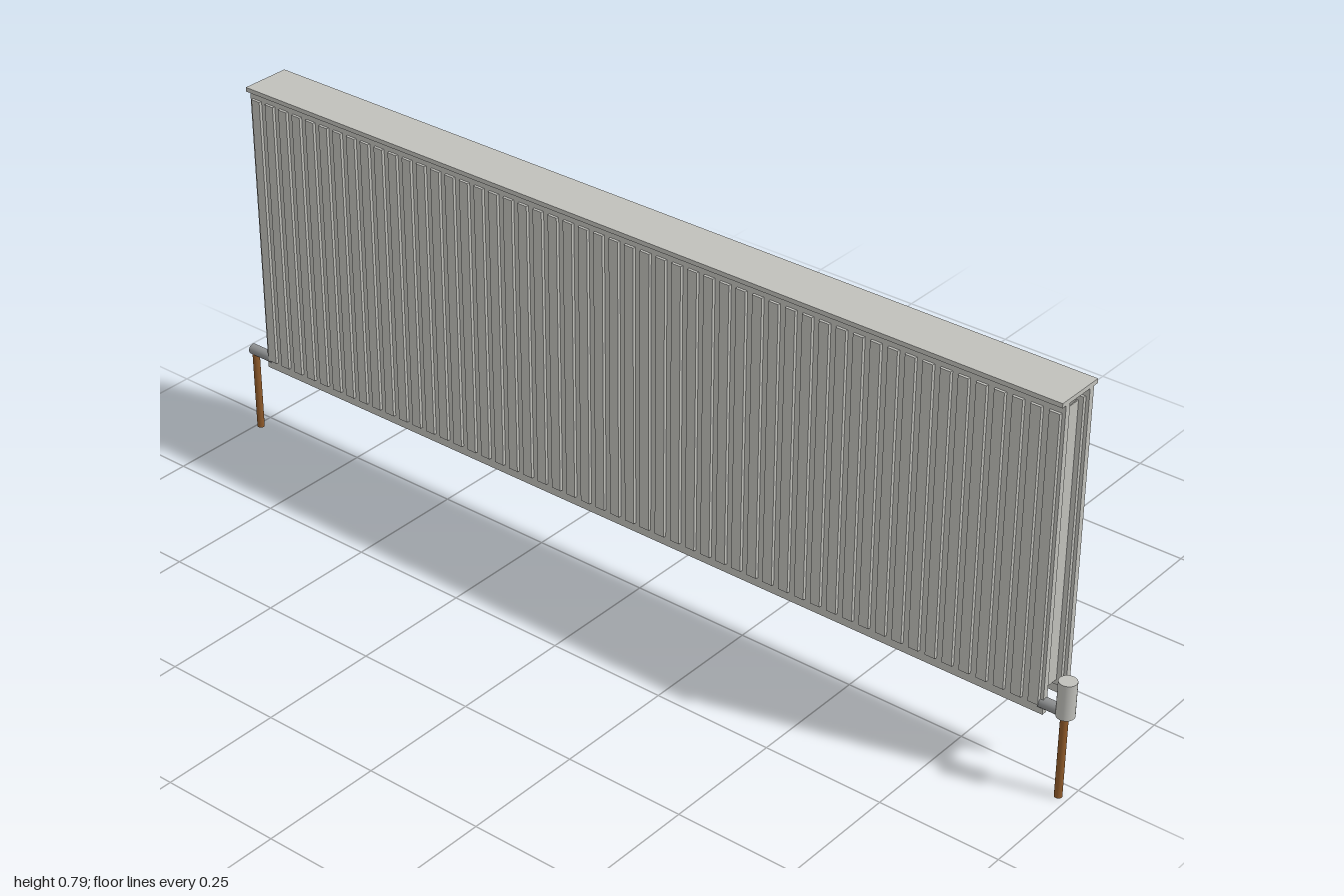
import * as THREE from 'three';
import { mergeGeometries } from 'three/addons/utils/BufferGeometryUtils.js';

const X0 = -0.95, X1 = 0.94, MID = (X0 + X1) / 2, WIDTH = X1 - X0;
const RIBS = 52, PITCH = WIDTH / RIBS;
const PANEL_Z = 0.036;

function box(w, h, d, x, y, z) {
  return new THREE.BoxGeometry(w, h, d).translate(x, y, z);
}

// Upright pressed rib: a box whose outer faces are slightly narrower than its middle
function rib(x, z) {
  const s = new THREE.Shape([
    [-0.013, 0], [-0.0105, -0.0115], [0.0105, -0.0115],
    [0.013, 0], [0.0105, 0.0115], [-0.0105, 0.0115],
  ].map(([a, b]) => new THREE.Vector2(a, b)));
  const g = new THREE.ExtrudeGeometry(s, { depth: 0.588, bevelEnabled: false });
  return g.rotateX(-Math.PI / 2).translate(x, 0.18, z);
}

export function createModel() {
  const model = new THREE.Group();
  model.name = 'radiator';
  const material = (name, color) => {
    const m = new THREE.MeshStandardMaterial({ color });
    m.name = name;
    return m;
  };
  const enamel = material('grey enamel', 0xc0c0bb);
  const steel = material('pipe steel', 0x8f9192);
  const copper = material('copper', 0x8f5a2a);

  const add = (name, geometry, mat) => {
    const mesh = new THREE.Mesh(geometry, mat);
    mesh.name = name;
    model.add(mesh);
    return mesh;
  };
  const ribX = (i) => X0 + (i + 0.5) * PITCH;

  // Front and back panels, each with ribs on both faces
  for (const [name, z] of [['front', PANEL_Z], ['back', -PANEL_Z]]) {
    add(name + 'Panel', box(WIDTH, 0.627, 0.012, MID, 0.4735, z), enamel);
    const ribs = [];
    for (let i = 0; i < RIBS; i++) ribs.push(rib(ribX(i), z));
    add(name + 'Ribs', mergeGeometries(ribs), enamel);
  }

  // Corrugated convector sheet folded between the panels
  const folds = [];
  for (let i = 0; i < RIBS; i++) {
    folds.push(box(0.002, 0.568, 0.05, ribX(i), 0.475, 0));
    if (i < RIBS - 1) {
      const side = i % 2 ? 1 : -1;
      folds.push(box(PITCH, 0.568, 0.002, ribX(i) + PITCH / 2, 0.475, side * 0.024));
    }
  }
  add('convector', mergeGeometries(folds), enamel);

  // Top cover
  add('topCover', box(WIDTH, 0.009, 0.106, MID, 0.7895, 0), enamel);

  // Inlet and outlet pipes
  const tube = (r, length, x, y, along) => {
    const g = new THREE.CylinderGeometry(r, r, length, 20);
    if (along) g.rotateZ(Math.PI / 2);
    return g.translate(x, y, PANEL_Z);
  };
  add('leftConnector', tube(0.011, 0.05, 0.955, 0.182, true), steel);
  add('rightConnector', tube(0.011, 0.06, -0.97, 0.182, true), steel);
  add('leftSupplyPipe', tube(0.0075, 0.178, 0.981, 0.089), copper);
  add('rightSupplyPipe', tube(0.0075, 0.178, -0.991, 0.089), copper);

  // Valve head
  add('valve', tube(0.0175, 0.073, 0.9825, 0.2115), enamel);

  return model;
}
